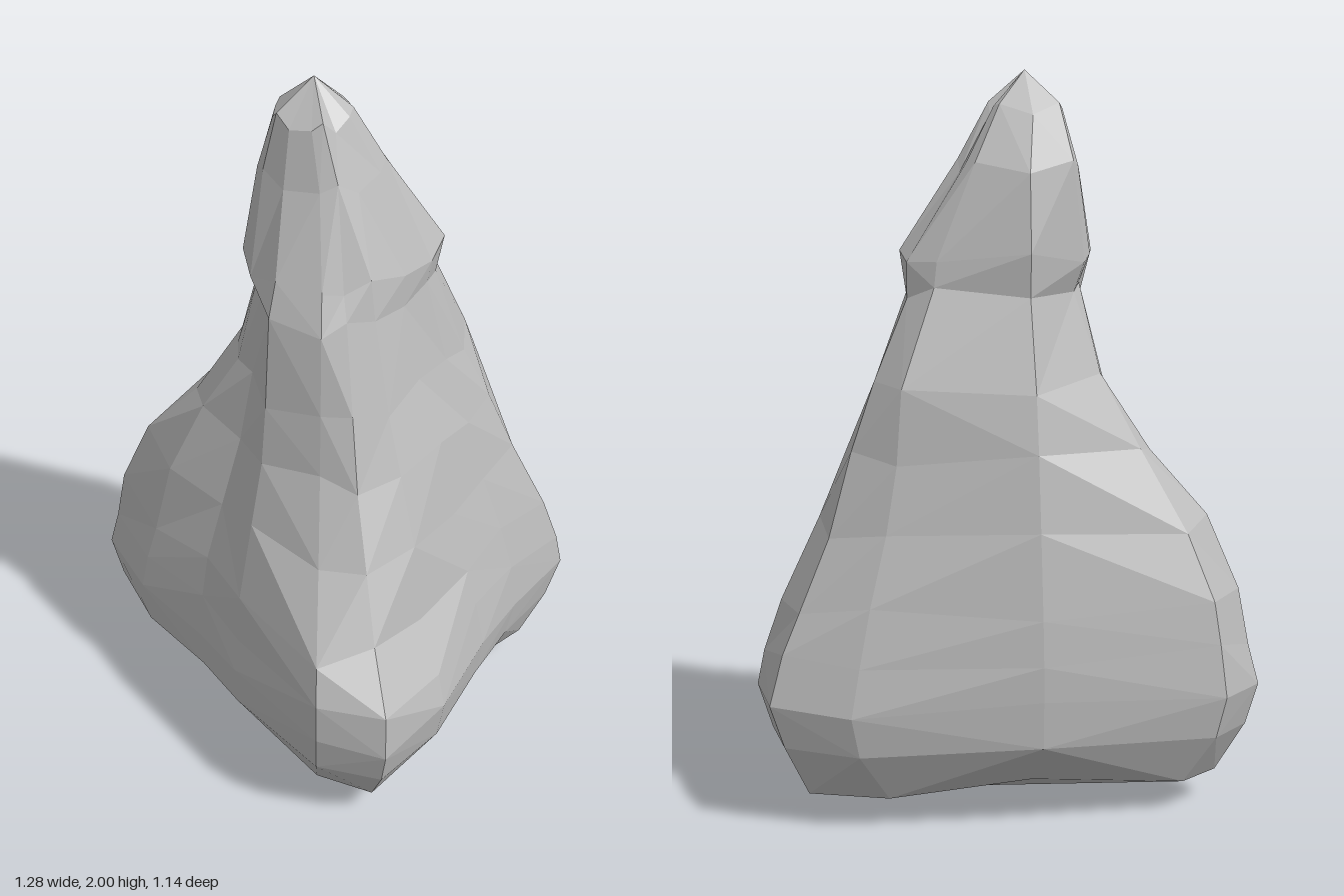
import * as THREE from 'three';

// Compass angles (degrees from +x towards +z), bunched around the three buttress ridges
const ANGLES = [0, 30, 50, 66, 100, 128, 155, 175, 188, 240, 295, 310, 324, 338];
const AXIS_X = 0.05;

// Cross-sections of the body: height, then the radius at each angle
const SECTIONS = [
  [0.35, [.51, .59, .68, .62, .42, .39, .53, .69, .64, .41, .61, .75, .73, .57]],
  [0.47, [.48, .56, .67, .62, .40, .38, .51, .66, .62, .41, .58, .71, .71, .55]],
  [0.60, [.45, .47, .55, .58, .39, .36, .48, .63, .60, .40, .54, .66, .66, .51]],
  [0.80, [.40, .43, .46, .42, .33, .31, .43, .54, .52, .37, .48, .57, .55, .45]],
  [1.00, [.35, .36, .36, .31, .28, .25, .33, .38, .38, .34, .44, .50, .47, .40]],
  [1.18, [.28, .30, .30, .28, .26, .21, .23, .25, .26, .31, .42, .43, .39, .33]],
  [1.42, [.23, .23, .23, .25, .24, .18, .18, .18, .18, .23, .30, .33, .30, .27]],
  [1.51, [.23, .21, .20, .21, .21, .21, .21, .21, .21, .24, .29, .33, .32, .28]],
];

const direction = (j) => {
  const a = THREE.MathUtils.degToRad(ANGLES[j]);
  return [Math.cos(a), Math.sin(a)];
};

// Uneven rise, so the ledges are not level
const rise = (i, j) => 0.018 * Math.sin(j * 2.3 + i * 1.7);

// Ring following one measured cross-section
const bodyRing = ([y, radii], i) => radii.map((r, j) => {
  const [c, s] = direction(j);
  return new THREE.Vector3(AXIS_X + r * c, y + rise(i, j), r * s);
});

// Undercut ring below the widest section: hollows are cut in further than ridges
const baseRing = (y, gain, inset) => SECTIONS[0][1].map((r, j) => {
  const [c, s] = direction(j);
  const radius = r * gain - inset;
  return new THREE.Vector3(AXIS_X + radius * c, y + rise(0, j) * 0.5, radius * s);
});

// Round ring near the peak
const peakRing = (y, x, z, radius) => ANGLES.map((_, j) => {
  const [c, s] = direction(j);
  return new THREE.Vector3(x + radius * c, y + rise(9, j), z + radius * s);
});

// Distance of an edge's middle from the rock's axis
const reach = (p, q) => Math.hypot(p.x + q.x - 2 * AXIS_X, p.z + q.z);

function rockGeometry() {
  const rings = [
    baseRing(0.09, 1.15, 0.22),
    baseRing(0.23, 0.9, -0.035),
    ...SECTIONS.map(bodyRing),
    peakRing(1.75, 0.025, -0.035, 0.163),
    peakRing(1.9, 0.015, -0.005, 0.1),
  ];
  const foot = new THREE.Vector3(0.13, 0, -0.07);
  const tip = new THREE.Vector3(0.02, 2, 0);
  const last = rings.length - 1;

  const points = [];
  ANGLES.forEach((_, j) => {
    const k = (j + 1) % ANGLES.length;
    for (let i = 0; i < last; i++) {
      const a = rings[i][j], b = rings[i][k], c = rings[i + 1][k], d = rings[i + 1][j];
      // Split each facet along its outer diagonal, as chipped stone breaks
      if (reach(a, c) > reach(b, d)) points.push(a, d, c, a, c, b);
      else points.push(a, d, b, b, d, c);
    }
    points.push(rings[last][j], tip, rings[last][k]);
    points.push(rings[0][j], rings[0][k], foot);
  });
  const geometry = new THREE.BufferGeometry().setFromPoints(points);
  geometry.computeVertexNormals();
  return geometry;
}

export function createModel() {
  const stone = new THREE.MeshStandardMaterial({ color: 0xbcbcbc, flatShading: true });
  stone.name = 'grey stone';

  const model = new THREE.Group();
  model.name = 'rockSpire';
  const rock = new THREE.Mesh(rockGeometry(), stone);
  rock.name = 'rock';
  model.add(rock);
  return model;
}
